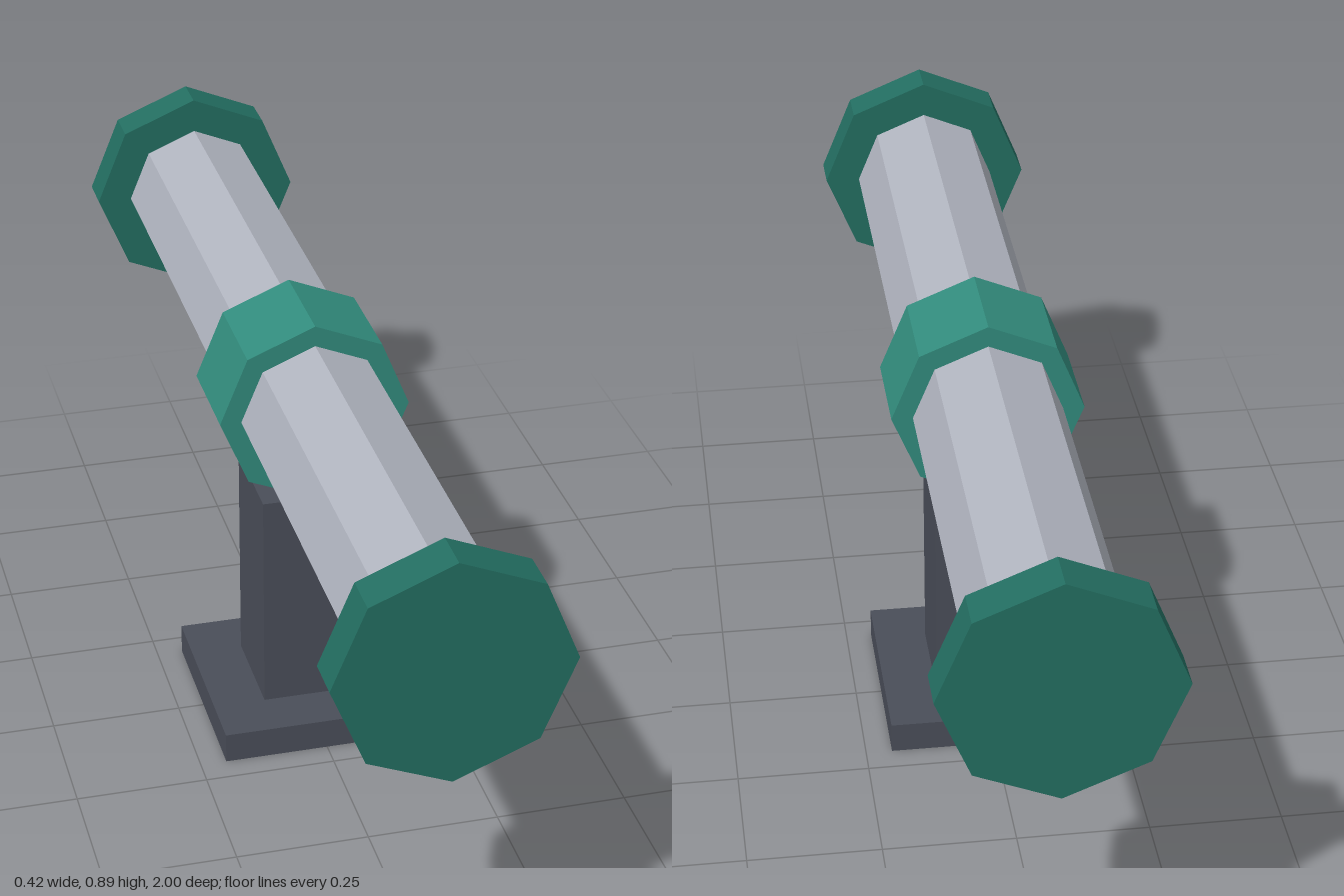
import * as THREE from 'three';

const AXIS_Y = 0.68; // height of the pipe's centre line

function makeMaterial(name, color) {
  const material = new THREE.MeshStandardMaterial({ color, flatShading: true });
  material.name = name;
  return material;
}

export function createModel() {
  const group = new THREE.Group();
  group.name = 'pipeOnStand';

  const steel = makeMaterial('pale steel', 0xb0b4bf);
  const darkGreen = makeMaterial('dark green', 0x236e61);
  const green = makeMaterial('green', 0x328c7d);
  const darkGrey = makeMaterial('dark grey', 0x4a4e59);

  function add(name, geometry, material, y, z = 0) {
    const mesh = new THREE.Mesh(geometry, material);
    mesh.name = name;
    mesh.position.set(0, y, z);
    group.add(mesh);
  }

  // Octagonal prism lying along z with a corner at the top
  const octagon = (radius, length, open = false) =>
    new THREE.CylinderGeometry(radius, radius, length, 8, 1, open).rotateX(Math.PI / 2);

  // Stand
  add('basePlate', new THREE.BoxGeometry(0.4, 0.06, 0.4), darkGrey, 0.03);
  add('post', new THREE.BoxGeometry(0.2, 0.44, 0.2), darkGrey, 0.28);

  // Pipe, its middle collar and the end flanges
  add('pipe', octagon(0.14, 1.84, true), steel, AXIS_Y);
  add('collar', octagon(0.18, 0.2), green, AXIS_Y);
  for (const [name, side] of [['frontFlange', 1], ['backFlange', -1]]) {
    add(name, octagon(0.209, 0.08), darkGreen, AXIS_Y, side * 0.96);
  }

  return group;
}
